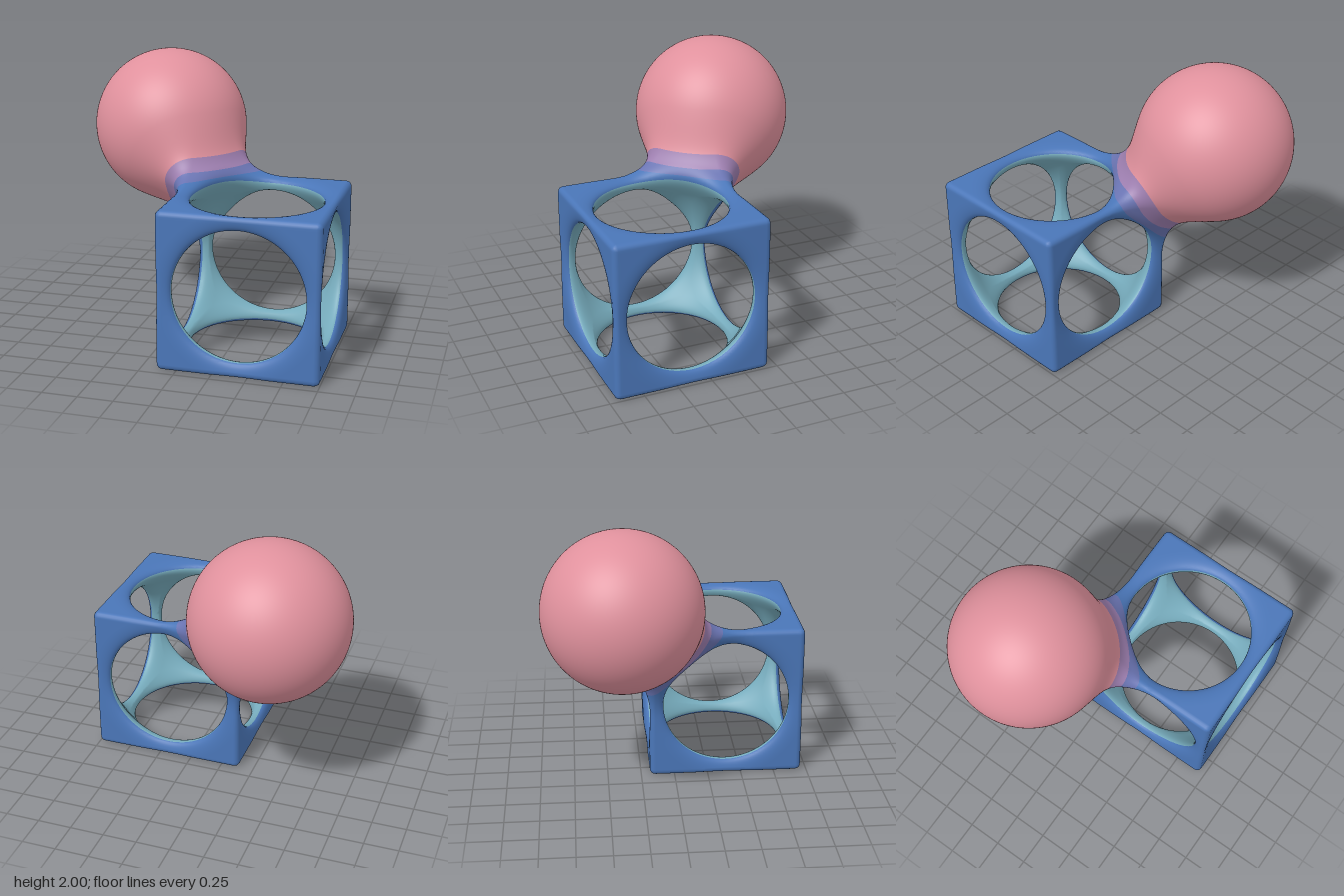
import * as THREE from 'three';

// Key dimensions
const BOX = [0.43, 0.57, 0.385], HALF = 0.57, ROUND = 0.04;
const BALL = [-0.43, 1.43, -0.385], BALL_R = 0.57;
const HOLLOW_R = 0.6675, RIM_BLEND = 0.16, NECK_BLEND = 0.47;

const distTo = (p, c) => Math.hypot(p[0] - c[0], p[1] - c[1], p[2] - c[2]);
const smoothMin = (a, b, k) => {
  const h = Math.max(0, 1 - Math.abs(a - b) / k);
  return Math.min(a, b) - h * h * k / 4;
};

// Distance rules: rounded cube, cube melted into the ball, spherical hollow
function cubeDist(p) {
  const q = p.map((v, i) => Math.abs(v - BOX[i]) - HALF + ROUND);
  return Math.hypot(Math.max(q[0], 0), Math.max(q[1], 0), Math.max(q[2], 0))
    + Math.min(Math.max(q[0], q[1], q[2]), 0) - ROUND;
}
const bodyDist = p => smoothMin(cubeDist(p), distTo(p, BALL) - BALL_R, NECK_BLEND);
const hollowDist = p => HOLLOW_R - distTo(p, BOX);
const field = p => -smoothMin(-bodyDist(p), -hollowDist(p), RIM_BLEND);

function gradient(p) {
  const e = 0.0015;
  return [0, 1, 2].map(i => {
    const a = [...p], b = [...p];
    a[i] += e;
    b[i] -= e;
    return (field(a) - field(b)) / (2 * e);
  });
}

// Surface vertex with its normal and the two values that separate the parts
function makeVertex(p) {
  const g = gradient(p), l = Math.hypot(...g) || 1;
  return { p, n: g.map(v => v / l), rim: hollowDist(p) - bodyDist(p), cube: cubeDist(p) };
}

// Wrap a regular grid around the form and pull the vertices onto the surface
function buildTriangles() {
  const N = 120, step = 0.0176, origin = [-1.053, -0.051, -1.047];
  const stride = [1, N, N * N];
  const at = (i, j, k) => [origin[0] + i * step, origin[1] + j * step, origin[2] + k * step];
  const values = new Float32Array(N * N * N);
  for (let k = 0, n = 0; k < N; k++)
    for (let j = 0; j < N; j++)
      for (let i = 0; i < N; i++) values[n++] = field(at(i, j, k));

  const cache = new Map();
  function cellVertex(id) {
    if (cache.has(id)) return cache.get(id);
    const base = at(id % N, Math.floor(id / N) % N, Math.floor(id / (N * N)));
    const sum = [0, 0, 0];
    let count = 0;
    for (let c = 0; c < 8; c++) {
      const bits = [c & 1, (c >> 1) & 1, c >> 2];
      const n = id + bits[0] + bits[1] * N + bits[2] * N * N;
      for (let d = 0; d < 3; d++) {
        if (bits[d]) continue;
        const a = values[n], b = values[n + stride[d]];
        if ((a < 0) === (b < 0)) continue;
        for (let i = 0; i < 3; i++) sum[i] += bits[i] + (i === d ? a / (a - b) : 0);
        count++;
      }
    }
    const p = base.map((v, i) => v + step * sum[i] / count);
    for (let t = 0; t < 3; t++) {
      const f = field(p), g = gradient(p);
      const l2 = Math.max(0.2, g[0] ** 2 + g[1] ** 2 + g[2] ** 2);
      for (let i = 0; i < 3; i++) p[i] -= f * g[i] / l2;
    }
    const vertex = makeVertex(p);
    cache.set(id, vertex);
    return vertex;
  }

  const triangles = [];
  for (let k = 1; k < N - 1; k++)
    for (let j = 1; j < N - 1; j++)
      for (let i = 1; i < N - 1; i++) {
        const n = i + j * N + k * N * N, inside = values[n] < 0;
        for (let d = 0; d < 3; d++) {
          if (inside === (values[n + stride[d]] < 0)) continue;
          const u = stride[(d + 1) % 3], v = stride[(d + 2) % 3];
          const q = [n - u - v, n - v, n, n - u].map(cellVertex);
          if (!inside) q.reverse();
          triangles.push([q[0], q[1], q[2]], [q[0], q[2], q[3]]);
        }
      }
  return triangles;
}

// Cut a polygon where a vertex value crosses a level: [below, above]
function cut(poly, key, level) {
  const low = [], high = [];
  poly.forEach((a, i) => {
    const b = poly[(i + 1) % poly.length];
    const da = a[key] - level, db = b[key] - level;
    (da < 0 ? low : high).push(a);
    if ((da < 0) !== (db < 0)) {
      const t = da / (da - db);
      const m = makeVertex(a.p.map((v, c) => v + (b.p[c] - v) * t));
      low.push(m);
      high.push(m);
    }
  });
  return [low, high];
}

export function createModel() {
  const material = (name, color) => {
    const m = new THREE.MeshStandardMaterial({ color });
    m.name = name;
    return m;
  };
  // Outer parts follow each other from the cube up to the ball
  const parts = [
    { name: 'cubeFrame', upTo: 0.03, mat: material('blue', 0x4a76b8) },
    { name: 'lowerNeckBand', upTo: 0.08, mat: material('blueViolet', 0x6a74b2) },
    { name: 'upperNeckBand', upTo: 0.17, mat: material('mauve', 0x9e7fb0) },
    { name: 'ball', upTo: Infinity, mat: material('pink', 0xe0919d) },
    { name: 'hollowInside', mat: material('teal', 0x76abbc) },
  ];
  parts.forEach(part => { part.positions = []; part.normals = []; });

  const addPolygon = (part, poly) => {
    for (let i = 1; i + 1 < poly.length; i++)
      for (const v of [poly[0], poly[i], poly[i + 1]]) {
        part.positions.push(...v.p);
        part.normals.push(...v.n);
      }
  };
  for (const triangle of buildTriangles()) {
    let [rest, inner] = cut(triangle, 'rim', 0);
    addPolygon(parts[4], inner);
    for (let i = 0; i < 4 && rest.length; i++) {
      if (i === 3) { addPolygon(parts[i], rest); break; }
      const [low, high] = cut(rest, 'cube', parts[i].upTo);
      addPolygon(parts[i], low);
      rest = high;
    }
  }

  const group = new THREE.Group();
  group.name = 'ballOnHollowCube';
  for (const part of parts) {
    const geometry = new THREE.BufferGeometry();
    geometry.setAttribute('position', new THREE.Float32BufferAttribute(part.positions, 3));
    geometry.setAttribute('normal', new THREE.Float32BufferAttribute(part.normals, 3));
    const mesh = new THREE.Mesh(geometry, part.mat);
    mesh.name = part.name;
    group.add(mesh);
  }
  return group;
}
